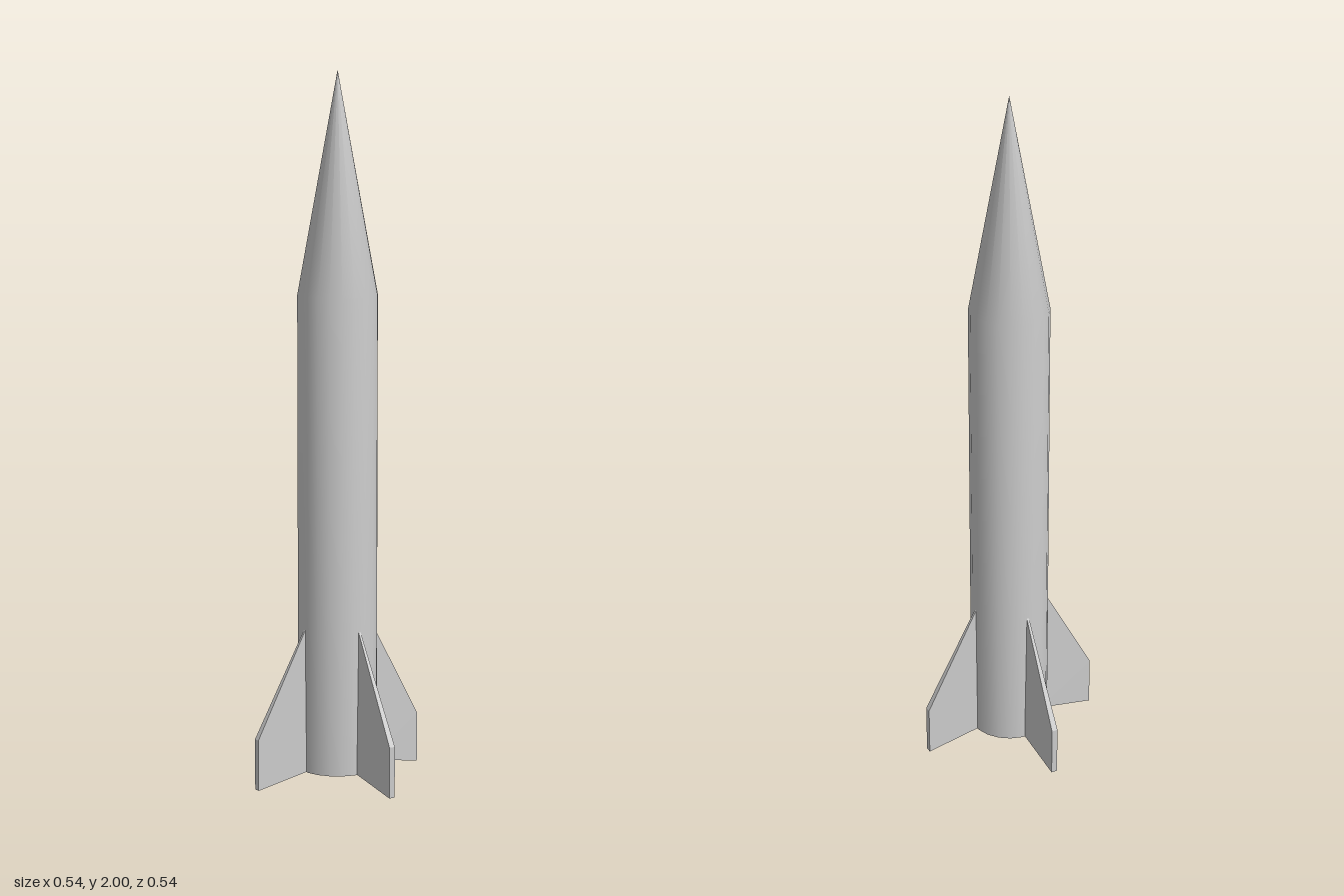
import * as THREE from 'three';

const SIDES = 20, RADIUS = 0.113, BORE = 0.058, BASE_Y = 0.028, BORE_TOP = 0.3;

const material = new THREE.MeshStandardMaterial({ color: 0xcccccc });

function addPart(parent, name, geometry) {
  const mesh = new THREE.Mesh(geometry, material);
  mesh.name = name;
  parent.add(mesh);
  return mesh;
}

function lathe(points) {
  return new THREE.LatheGeometry(points.map(([r, y]) => new THREE.Vector2(r, y)), SIDES);
}

// Swept fin: a box reshaped into a trapezoid that thins towards its upper root
function finGeometry() {
  const geometry = new THREE.BoxGeometry(1, 1, 1).toNonIndexed();
  const p = geometry.attributes.position;
  for (let i = 0; i < p.count; i++) {
    const outer = p.getX(i) > 0, upper = p.getY(i) > 0;
    const y = outer ? (upper ? 0.145 : 0) : (upper ? 0.46 : 0.031);
    const thickness = upper && !outer ? 0.006 : 0.018;
    p.setXYZ(i, outer ? 0.272 : 0.1, y, Math.sign(p.getZ(i)) * thickness / 2);
  }
  geometry.computeVertexNormals();
  return geometry;
}

export function createModel() {
  const rocket = new THREE.Group();
  rocket.name = 'rocket';

  // Body tube running smoothly into the pointed nose
  addPart(rocket, 'bodyAndNose', lathe([[RADIUS, BASE_Y], [RADIUS, 1.38], [0, 2]]));

  // Ring-shaped base with a recessed engine bore
  const ring = new THREE.RingGeometry(BORE, RADIUS, SIDES).rotateX(Math.PI / 2);
  addPart(rocket, 'baseRing', ring).position.y = BASE_Y;
  addPart(rocket, 'engineBore', lathe([[BORE, BORE_TOP], [BORE, BASE_Y]]));
  const cap = new THREE.CircleGeometry(BORE, SIDES).rotateX(Math.PI / 2);
  addPart(rocket, 'boreEnd', cap).position.y = BORE_TOP;

  // Four fins, each centred on a flat of the body
  const fin = finGeometry();
  for (let i = 0; i < 4; i++) {
    addPart(rocket, `fin${i + 1}`, fin).rotation.y = i * Math.PI / 2 - Math.PI / SIDES;
  }
  return rocket;
}
